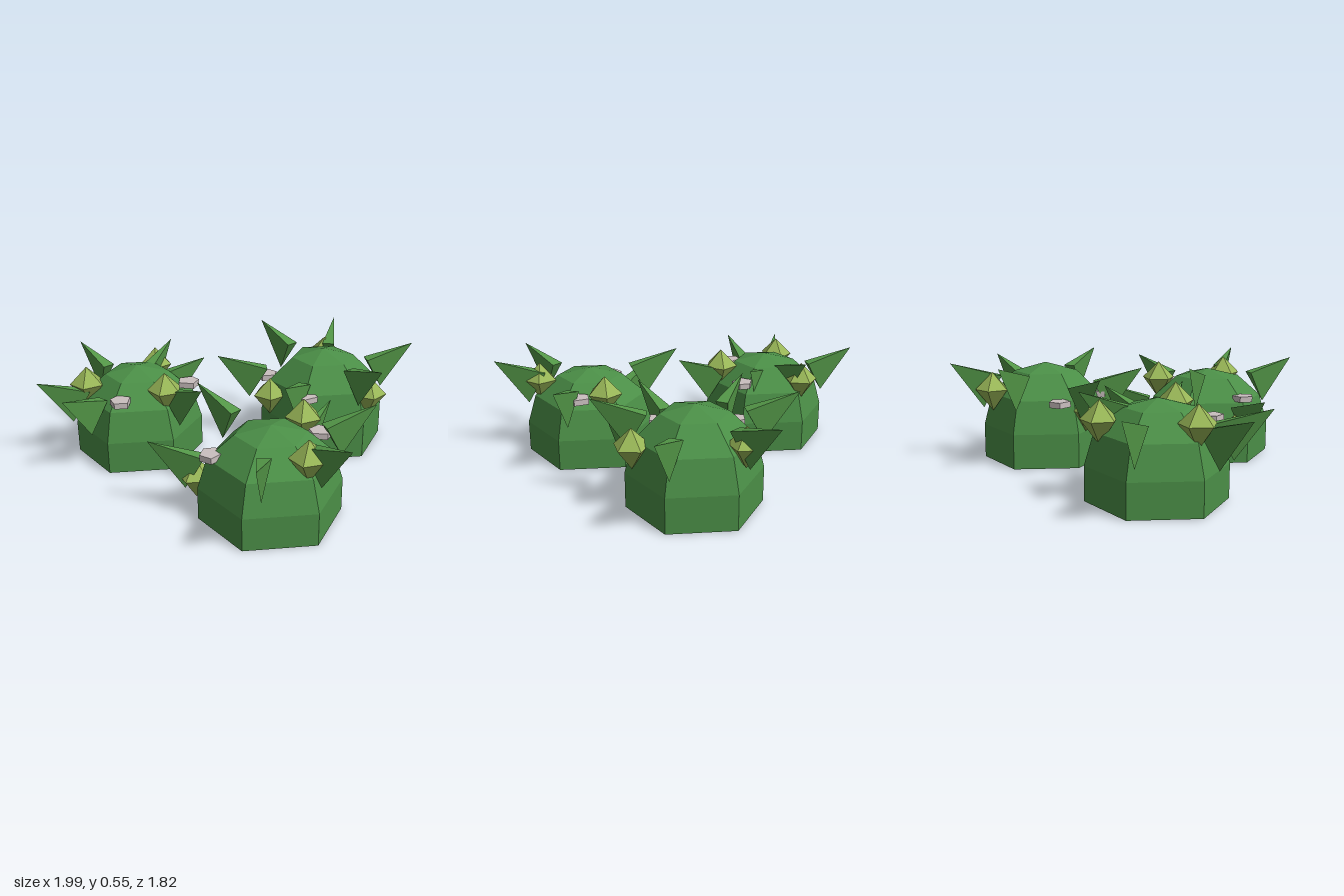
import * as THREE from 'three';

const material = (name, color) => {
  const m = new THREE.MeshStandardMaterial({ color });
  m.name = name;
  return m;
};

// Give every face its own flat normal
const faceted = (geometry) => {
  const g = geometry.index ? geometry.toNonIndexed() : geometry;
  g.computeVertexNormals();
  return g;
};

const lathe = (points, sides, phi = 0) =>
  faceted(new THREE.LatheGeometry(points.map(([r, y]) => new THREE.Vector2(r, y)), sides, phi));

// Each bush: centre, radius, height scale, then spike tips, buds and stones as [x, y, z]
const BUSHES = [
  {
    x: 0, z: -0.46, r: 0.333, h: 1,
    tips: [[-0.5, 0.545, -0.43], [0.485, 0.54, -0.415], [-0.33, 0.525, -0.84],
      [0.22, 0.507, -0.915], [-0.3, 0.49, 0.02], [0.24, 0.48, 0]],
    buds: [[-0.21, 0.385, -0.66], [0.3, 0.34, -0.52], [-0.09, 0.295, -0.17]],
    stones: [[-0.22, 0.34, -0.25], [0.155, 0.34, -0.22]],
  },
  {
    x: -0.488, z: 0.405, r: 0.332, h: 0.92,
    tips: [[-1, 0.47, 0.47], [0, 0.47, 0.33], [-0.65, 0.5, 0.09],
      [-0.35, 0.48, 0.07], [-0.65, 0.44, 0.9], [-0.355, 0.44, 0.9]],
    buds: [[-0.65, 0.385, 0.195], [-0.6, 0.395, 0.64], [-0.24, 0.415, 0.39]],
    stones: [[-0.33, 0.37, 0.19], [-0.325, 0.37, 0.6]],
  },
  {
    x: 0.487, z: 0.283, r: 0.341, h: 0.9,
    tips: [[0.01, 0.53, 0.36], [0.985, 0.52, 0.255], [0.29, 0.37, -0.26],
      [0.66, 0.49, -0.21], [0.125, 0.37, 0.72], [0.85, 0.5, 0.65]],
    buds: [[0.41, 0.405, 0.025], [0.75, 0.405, 0.285], [0.235, 0.18, 0.53]],
    stones: [[0.365, 0.335, 0.53], [0.54, 0.37, 0.03]],
  },
];

export function createModel() {
  const model = new THREE.Group();
  model.name = 'spikyBushes';
  const bushGreen = material('bushGreen', 0x4b8f47);
  const spikeGreen = material('spikeGreen', 0x549848);
  const budGreen = material('budGreen', 0x98b657);
  const stoneGrey = material('stoneGrey', 0xcabfbf);

  // Three-sided thorn, thin sideways, tip at the origin
  const spikeGeometry = new THREE.ConeGeometry(0.128, 0.265, 3);
  spikeGeometry.translate(0, -0.1325, 0).scale(0.3, 1, 1);
  const spike = faceted(spikeGeometry);

  // Five-sided double cone
  const bud = lathe([[0, -0.115], [0.09, 0], [0, 0.09]], 5);

  // Flat irregular pebble
  const pebble = new THREE.Shape([[0.055, 0.01], [0.02, 0.052], [-0.045, 0.035], [-0.05, -0.03], [0.025, -0.05]]
    .map(([x, y]) => new THREE.Vector2(x, y)));
  const stone = faceted(new THREE.ExtrudeGeometry(pebble, { depth: 0.03, bevelEnabled: false })
    .rotateX(-Math.PI / 2).translate(0, -0.015, 0));

  const add = (parent, name, geometry, mat, [x, y, z]) => {
    const mesh = new THREE.Mesh(geometry, mat);
    mesh.name = name;
    mesh.position.set(x, y, z);
    parent.add(mesh);
    return mesh;
  };

  BUSHES.forEach((b, n) => {
    const bush = new THREE.Group();
    bush.name = `bush${n + 1}`;
    model.add(bush);

    // Six-sided trunk wall capped by a coarse half dome
    const wall = 0.18 * b.h;
    const profile = [[0, 0], [b.r, 0]];
    for (let i = 0; i <= 3; i++) {
      const a = (i * Math.PI) / 6;
      profile.push([i === 3 ? 0 : b.r * Math.cos(a), wall + 0.335 * b.h * Math.sin(a)]);
    }
    add(bush, 'bushBody', lathe(profile, 6, Math.PI / 2), bushGreen, [b.x, 0, b.z]);

    // Thorns lean outward and up, away from the bush axis
    b.tips.forEach((tip) => {
      const mesh = add(bush, 'spike', spike, spikeGreen, tip);
      mesh.rotation.order = 'YXZ';
      mesh.rotation.set(THREE.MathUtils.degToRad(61), Math.atan2(tip[0] - b.x, tip[2] - b.z), 0);
    });

    b.buds.forEach((p, i) => {
      add(bush, 'bud', bud, budGreen, p).rotation.y = i * 1.1 + n;
    });
    b.stones.forEach((p, i) => {
      add(bush, 'stone', stone, stoneGrey, p).rotation.y = i * 1.7 + n;
    });
  });
  return model;
}
